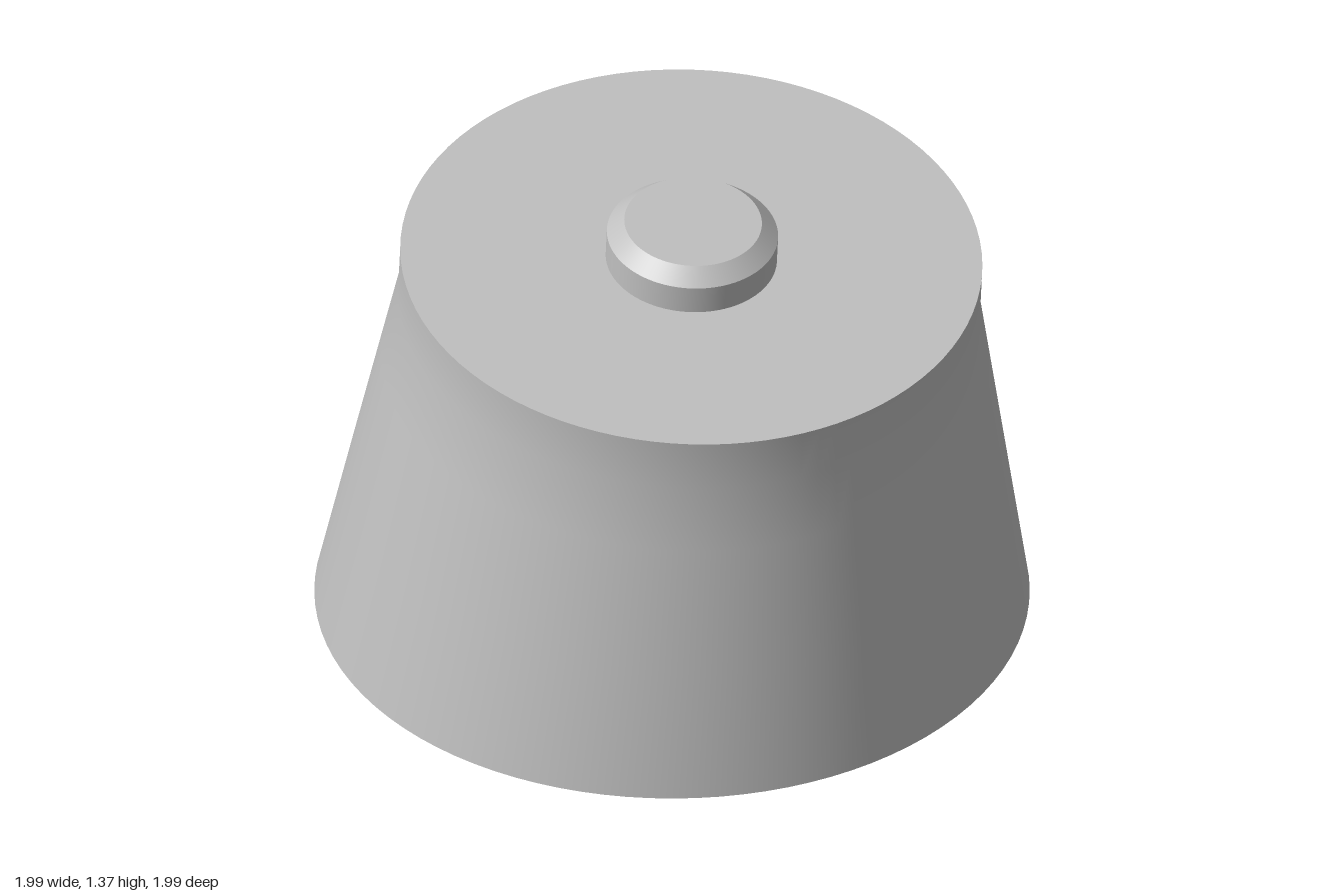
import * as THREE from 'three';

const SEGMENTS = 96;
const TILT = THREE.MathUtils.degToRad(4.95);

// Smooth skin through circular rings { y, z, r, tilt }
function loftRings(rings) {
  const positions = [], indices = [], p = new THREE.Vector3();
  const axis = new THREE.Vector3(1, 0, 0);
  rings.forEach(({ y, z, r, tilt }) => {
    for (let i = 0; i < SEGMENTS; i++) {
      const a = (i / SEGMENTS) * Math.PI * 2;
      p.set(Math.sin(a) * r, 0, Math.cos(a) * r).applyAxisAngle(axis, tilt);
      positions.push(p.x, p.y + y, p.z + z);
    }
  });
  for (let k = 0; k < rings.length - 1; k++) {
    for (let i = 0; i < SEGMENTS; i++) {
      const j = (i + 1) % SEGMENTS;
      const a = k * SEGMENTS + i, b = k * SEGMENTS + j;
      indices.push(a, b, b + SEGMENTS, a, b + SEGMENTS, a + SEGMENTS);
    }
  }
  const geometry = new THREE.BufferGeometry();
  geometry.setAttribute('position', new THREE.Float32BufferAttribute(positions, 3));
  geometry.setIndex(indices);
  geometry.computeVertexNormals();
  return geometry;
}

export function createModel() {
  const model = new THREE.Group();
  model.name = 'taperedBaseWithButton';
  const grey = new THREE.MeshStandardMaterial({ color: 0xc0c0c0 });
  grey.name = 'grey';

  const add = (parent, name, geometry) => {
    const mesh = new THREE.Mesh(geometry, grey);
    mesh.name = name;
    parent.add(mesh);
    return mesh;
  };

  // Body: level foot, tapering to a short tilted collar
  const foot = { y: 0, z: 0, r: 0.997, tilt: 0 };
  const neck = { y: 1.06, z: 0.107, r: 0.812, tilt: TILT };
  const rim = { y: 1.22, z: 0.121, r: 0.812, tilt: TILT };
  const between = (t) => Object.fromEntries(
    Object.keys(foot).map((k) => [k, THREE.MathUtils.lerp(foot[k], neck[k], t)]));
  add(model, 'bodySide', loftRings([foot, between(0.4), between(0.8), neck, rim]));
  add(model, 'bottomFace', new THREE.CircleGeometry(foot.r, SEGMENTS).rotateX(Math.PI / 2));

  // Tilted top: flat face and chamfered button share one frame
  const top = new THREE.Group();
  top.name = 'tiltedTop';
  top.position.set(0, rim.y, rim.z);
  top.rotation.x = TILT;
  model.add(top);
  add(top, 'topFace', new THREE.CircleGeometry(rim.r, SEGMENTS).rotateX(-Math.PI / 2));
  add(top, 'buttonSide', new THREE.CylinderGeometry(0.239, 0.239, 0.086, SEGMENTS, 1, true))
    .position.y = 0.043;
  add(top, 'buttonChamfer', new THREE.CylinderGeometry(0.192, 0.239, 0.043, SEGMENTS, 1, true))
    .position.y = 0.1075;
  add(top, 'buttonFace', new THREE.CircleGeometry(0.192, SEGMENTS).rotateX(-Math.PI / 2))
    .position.y = 0.129;

  return model;
}
